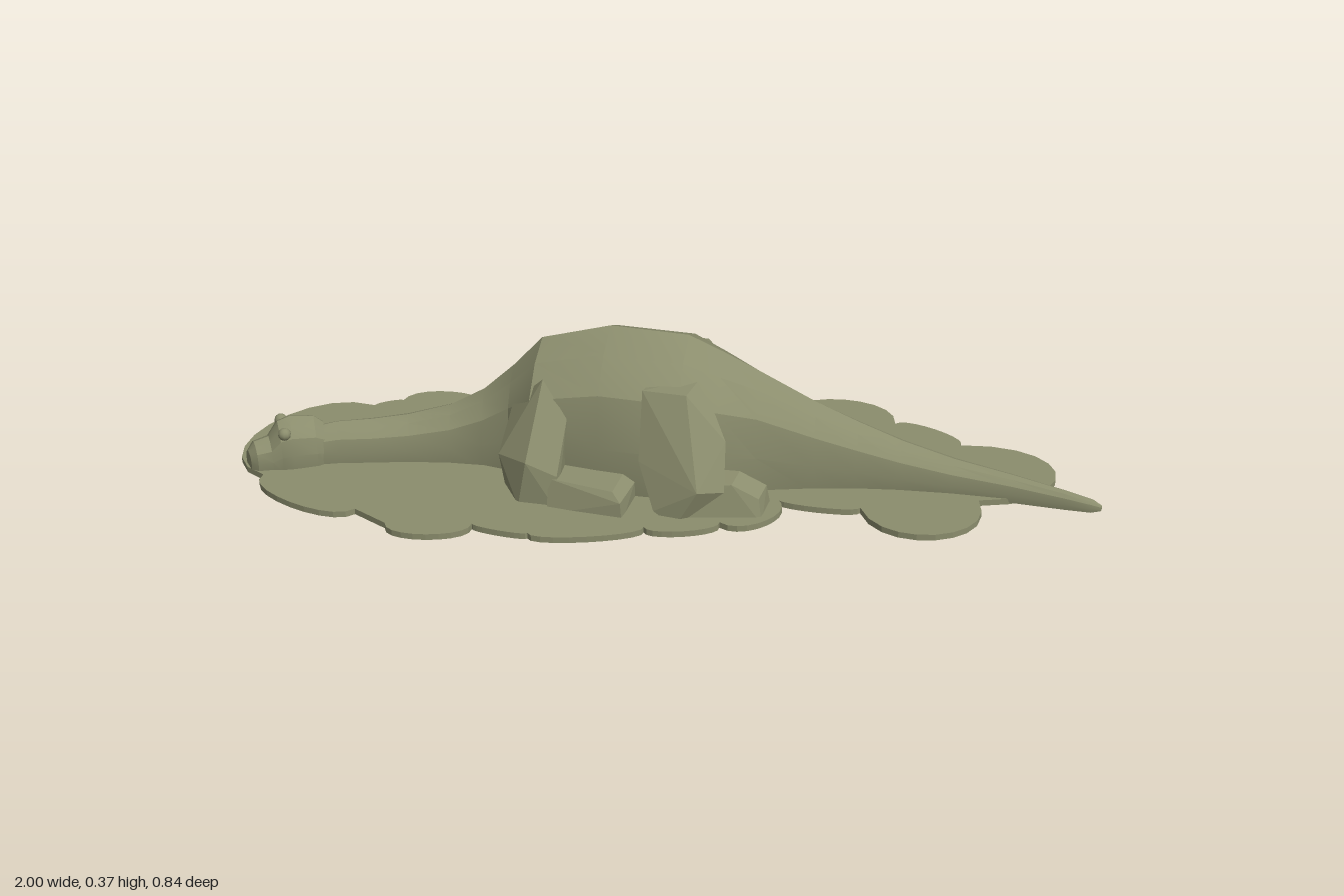
import * as THREE from 'three';
import { toCreasedNormals } from 'three/addons/utils/BufferGeometryUtils.js';
import { ConvexGeometry } from 'three/addons/geometries/ConvexGeometry.js';

const olive = new THREE.MeshStandardMaterial({ color: 0x8b8d6d });
olive.name = 'olive';

// Half cross-section (side, height), ridge to belly; the other half is mirrored
const HALF = [[0, 1], [0.48, 0.9], [0.86, 0.7], [1, 0.36], [0.9, 0]];
const RING = [...HALF, ...HALF.slice(1).reverse().map(([u, v]) => [-u, v])];

// Skin a run of stations [x, z, halfWidth, top, bottom], ordered along +x
function loft(stations) {
  const pos = [], idx = [], n = RING.length, last = stations.length - 1;
  stations.forEach(([x, z, w, top, bottom], i) => {
    const a = stations[Math.max(i - 1, 0)], b = stations[Math.min(i + 1, last)];
    const t = new THREE.Vector2(b[0] - a[0], b[1] - a[1]).normalize();
    for (const [u, v] of RING) {
      pos.push(x - t.y * u * w, bottom + (top - bottom) * v, z + t.x * u * w);
    }
  });
  for (let i = 0; i < last; i++) {
    for (let j = 0; j < n; j++) {
      const k = (j + 1) % n, a = i * n, b = a + n;
      idx.push(a + j, a + k, b + k, a + j, b + k, b + j);
    }
  }
  for (let j = 1; j < n - 1; j++) {
    idx.push(0, j + 1, j, last * n, last * n + j, last * n + j + 1);
  }
  const g = new THREE.BufferGeometry();
  g.setAttribute('position', new THREE.Float32BufferAttribute(pos, 3));
  g.setIndex(idx);
  return toCreasedNormals(g, 0.42);
}

// Ground slab: outline of rounded lobes, each [start x, start z, bulge]
const LOBES = [
  [-0.9, 0.21, 0.16], [-0.76, -0.19, 0.01], [-0.7, -0.23, 0.07], [-0.49, -0.23, 0.055],
  [-0.28, -0.32, 0.02], [-0.165, -0.33, 0.055], [0, -0.35, 0.03], [0.25, -0.31, 0.115],
  [0.52, -0.31, 0.035], [0.68, -0.22, 0.2], [0.73, 0.05, 0.14], [0.47, 0.13, 0.02],
  [0.28, 0.12, 0.06], [0.17, 0.25, 0.03], [0.01, 0.3, 0.03], [-0.235, 0.37, 0.01],
  [-0.365, 0.35, 0.05], [-0.555, 0.38, 0], [-0.64, 0.33, 0.06],
];

function slabGeometry() {
  const shape = new THREE.Shape();
  shape.moveTo(LOBES[0][0], -LOBES[0][1]);
  LOBES.forEach(([x, z, bulge], i) => {
    const [x2, z2] = LOBES[(i + 1) % LOBES.length];
    const len = Math.hypot(x2 - x, z2 - z), h = (bulge * 4) / 3 / len;
    const ox = (z2 - z) * h, oz = -(x2 - x) * h;
    shape.bezierCurveTo(x + ox, -(z + oz), x2 + ox, -(z2 + oz), x2, -z2);
  });
  const g = new THREE.ExtrudeGeometry(shape, { depth: 0.014, bevelEnabled: false, curveSegments: 10 });
  g.rotateX(-Math.PI / 2).translate(0, 0.008, 0);
  return g;
}

// Faceted limb blocks on the +z side
const LIMBS = {
  upperArm: [
    [-0.33, 0.2, 0.09], [-0.25, 0.28, 0.13], [-0.19, 0.2, 0.16], [-0.35, 0.08, 0.13],
    [-0.345, 0.11, 0.18], [-0.27, 0.12, 0.235], [-0.2, 0.09, 0.23], [-0.29, 0.01, 0.235],
    [-0.2, 0.01, 0.24], [-0.2, 0.01, 0.14], [-0.34, 0.01, 0.15],
  ],
  frontFoot: [
    [-0.23, 0.09, 0.16], [-0.22, 0.085, 0.23], [-0.24, 0.005, 0.15], [-0.22, 0.005, 0.25],
    [-0.06, 0.08, 0.16], [-0.07, 0.075, 0.25], [-0.035, 0.06, 0.17], [-0.05, 0.055, 0.265],
    [-0.035, 0.005, 0.16], [-0.045, 0.005, 0.27],
  ],
  thigh: [
    [-0.02, 0.28, 0.15], [0.08, 0.28, 0.16], [0, 0.28, 0.08], [0.1, 0.29, 0.08],
    [-0.02, 0.13, 0.2], [0.02, 0.03, 0.24], [0.07, 0, 0.25], [0.12, 0.09, 0.255],
    [0.17, 0.18, 0.17], [0.175, 0.08, 0.22], [0.16, 0.04, 0.13], [0.01, 0, 0.14],
  ],
  hindFoot: [
    [0.06, 0.1, 0.15], [0.06, 0.09, 0.23], [0.06, 0.005, 0.13], [0.06, 0.005, 0.25],
    [0.2, 0.1, 0.15], [0.19, 0.095, 0.21], [0.26, 0.065, 0.14], [0.25, 0.06, 0.2],
    [0.27, 0.005, 0.13], [0.26, 0.005, 0.215],
  ],
};

export function createModel() {
  const model = new THREE.Group();
  const add = (name, geometry) => {
    const mesh = new THREE.Mesh(geometry, olive);
    mesh.name = name;
    model.add(mesh);
    return mesh;
  };

  add('groundSlab', slabGeometry());

  // Neck, ridged trunk and tail in one skin
  add('body', loft([
    [-0.82, 0.11, 0.042, 0.1, 0.018], [-0.76, 0.085, 0.046, 0.11, 0.015],
    [-0.68, 0.062, 0.052, 0.113, 0.012], [-0.6, 0.038, 0.058, 0.12, 0.012],
    [-0.5, 0.018, 0.066, 0.145, 0.012], [-0.42, 0.008, 0.075, 0.188, 0.012],
    [-0.35, 0, 0.1, 0.25, 0.012], [-0.28, 0, 0.165, 0.325, 0.012],
    [-0.12, 0, 0.178, 0.366, 0.012], [0.06, 0, 0.182, 0.356, 0.012],
    [0.14, 0, 0.15, 0.32, 0.012], [0.22, -0.005, 0.105, 0.278, 0.012],
    [0.35, -0.018, 0.083, 0.205, 0.012], [0.45, -0.022, 0.068, 0.16, 0.012],
    [0.55, -0.02, 0.055, 0.122, 0.012], [0.67, -0.012, 0.042, 0.09, 0.012],
    [0.8, 0.004, 0.029, 0.07, 0.012], [0.92, 0.028, 0.018, 0.053, 0.013],
    [0.98, 0.04, 0.013, 0.042, 0.015], [1, 0.045, 0.005, 0.032, 0.02],
  ]));

  // Blunt head with a low snout
  add('head', loft([
    [-0.947, 0.175, 0.022, 0.062, 0.022], [-0.935, 0.166, 0.038, 0.082, 0.016],
    [-0.905, 0.148, 0.045, 0.09, 0.015], [-0.885, 0.137, 0.054, 0.125, 0.015],
    [-0.86, 0.124, 0.058, 0.134, 0.015], [-0.81, 0.1, 0.056, 0.128, 0.015],
    [-0.79, 0.092, 0.046, 0.11, 0.018],
  ]));

  // Brow bumps either side of the head
  for (const side of [1, -1]) {
    const brow = add(side > 0 ? 'leftBrow' : 'rightBrow', new THREE.SphereGeometry(0.015, 10, 8));
    brow.position.set(-0.875 + side * 0.018, 0.108, 0.131 + side * 0.036);
  }

  // Folded legs, mirrored across the trunk
  for (const side of [1, -1]) {
    for (const [name, points] of Object.entries(LIMBS)) {
      const corners = points.map(([x, y, z]) => new THREE.Vector3(x, y, z * side));
      add(`${name}${side > 0 ? 'PlusZ' : 'MinusZ'}`, new ConvexGeometry(corners));
    }
  }
  return model;
}
